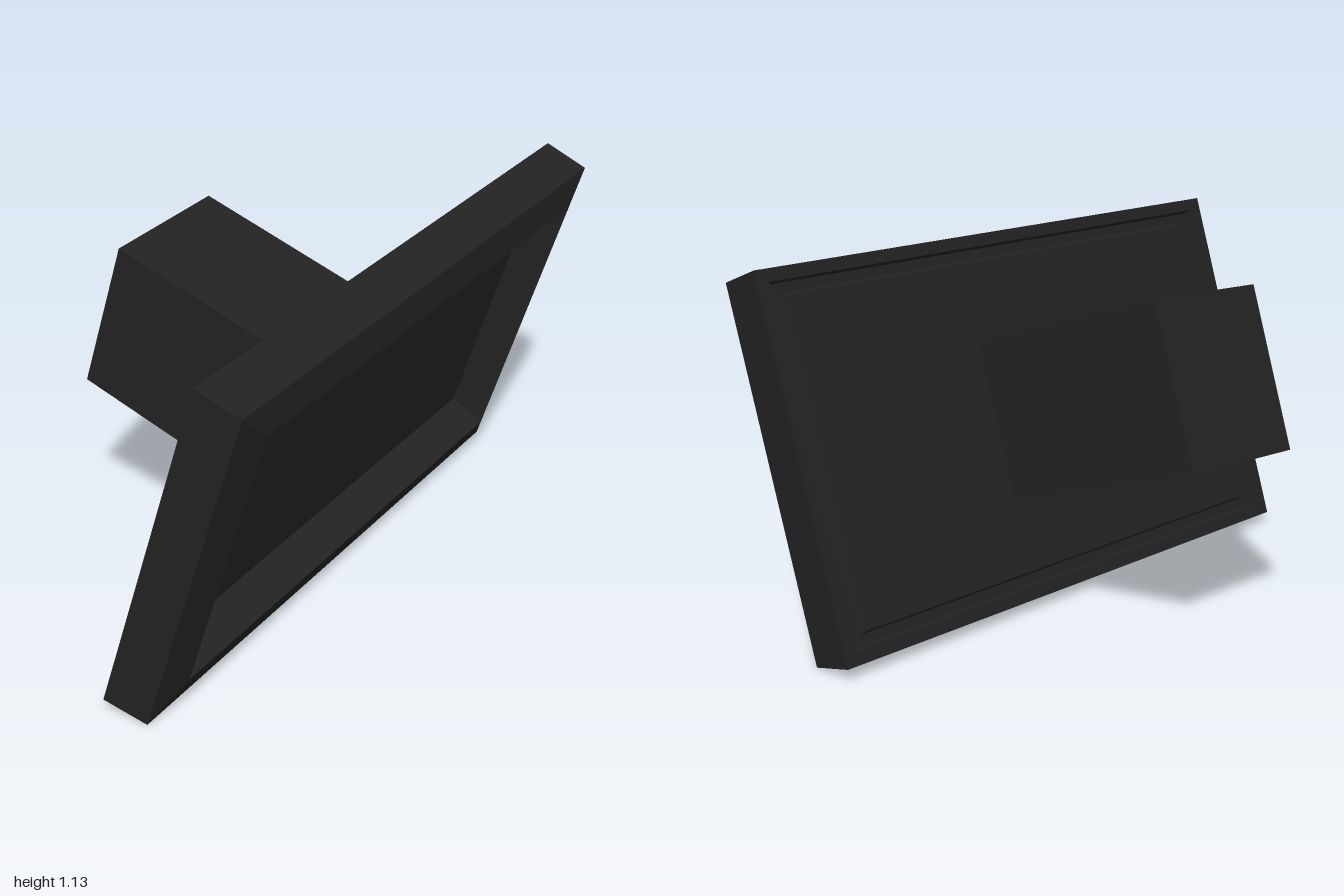
import * as THREE from 'three';

// Rectangular ring across the panel: depth x, then y and z limits
const ring = (x, y0, y1, z0, z1) => [[x, y0, z1], [x, y0, z0], [x, y1, z0], [x, y1, z1]];

// Flat-sided surface through successive rings, with optional end caps
function loft(rings, backCap = false, frontCap = false) {
  const pos = [];
  const quad = (a, b, c, d) => pos.push(...a, ...b, ...c, ...a, ...c, ...d);
  for (let r = 0; r < rings.length - 1; r++) {
    const a = rings[r], b = rings[r + 1];
    for (let i = 0; i < 4; i++) {
      const j = (i + 1) % 4;
      quad(a[i], a[j], b[j], b[i]);
    }
  }
  if (backCap) quad(...[...rings[0]].reverse());
  if (frontCap) quad(...rings[rings.length - 1]);
  const g = new THREE.BufferGeometry();
  g.setAttribute('position', new THREE.Float32BufferAttribute(pos, 3));
  g.computeVertexNormals();
  return g;
}

export function createModel() {
  const model = new THREE.Group();
  const dark = new THREE.MeshStandardMaterial({ color: 0x222222 });
  dark.name = 'darkPlastic';

  // Everything leans forward together
  const tilted = new THREE.Group();
  tilted.name = 'tiltedBody';
  tilted.rotation.z = THREE.MathUtils.degToRad(-17);
  tilted.position.set(0.075, 0.037, 0);
  model.add(tilted);

  const add = (name, geometry) => {
    const mesh = new THREE.Mesh(geometry, dark);
    mesh.name = name;
    tilted.add(mesh);
  };

  const grooveInner = ring(0.04, 0.075, 1.075, -0.905, 0.905);
  const screenEdge = ring(0.055, 0.16, 1.025, -0.885, 0.84);

  // Raised panel on the back
  add('backPanel', loft([ring(0.01, 0.085, 1.065, -0.895, 0.895), grooveInner], true));

  // Frame: back groove, rim, outer sides, bevelled front and recess walls
  add('frame', loft([
    grooveInner,
    ring(0.04, 0.045, 1.105, -0.95, 0.95),
    ring(0, 0.04, 1.11, -0.955, 0.955),
    ring(0, 0, 1.148, -1, 1),
    ring(0.149, 0.01, 1.139, -0.99, 0.99),
    ring(0.177, 0.13, 1.04, -0.89, 0.87),
    screenEdge,
  ]));

  // Sunken screen
  add('screen', loft([screenEdge], false, true));

  // Slightly skewed rear housing
  const box = new THREE.BoxGeometry(0.775, 0.51, 0.452);
  box.translate(-0.355, 0.56, 0.016);
  const p = box.attributes.position;
  for (let i = 0; i < p.count; i++) {
    const x = p.getX(i), y = p.getY(i), z = p.getZ(i);
    p.setXYZ(i, x - 0.02 * z, y - 0.045 * z, z + 0.02 * x + 0.005);
  }
  box.computeVertexNormals();
  add('rearHousing', box);

  return model;
}
